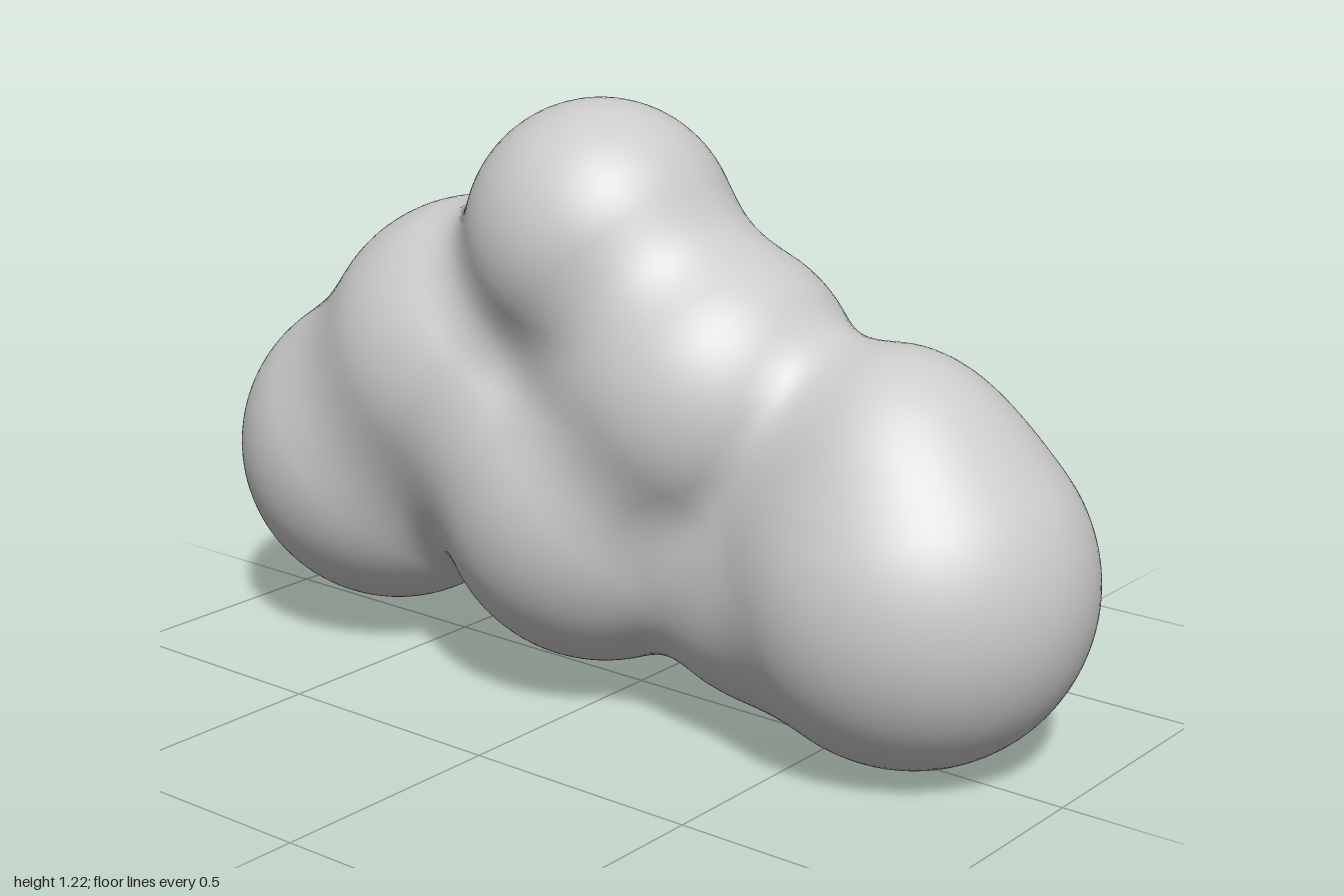
import * as THREE from 'three';

// Puffs of the cloud: x, y, z, radius
const PUFFS = [
  [-0.658, 0.41, 0.027, 0.342], // right end
  [-0.40, 0.642, 0.028, 0.342], // right shoulder
  [-0.07, 0.407, 0.028, 0.342], // middle base
  [-0.055, 0.952, 0.058, 0.273], // crown
  [0.185, 0.675, 0.025, 0.307], // left shoulder
  [0.34, 0.31, 0.0, 0.25], // base filler
  [0.585, 0.585, -0.02, 0.23], // small left bump
  [0.643, 0.361, -0.02, 0.357], // left end
];
const BLEND = 0.11;

// Distance to the softly merged puffs
function field(x, y, z) {
  let d = Infinity;
  for (const [cx, cy, cz, r] of PUFFS) {
    const s = Math.hypot(x - cx, y - cy, z - cz) - r;
    const h = Math.max(BLEND - Math.abs(d - s), 0);
    d = Math.min(d, s) - (h * h) / (4 * BLEND);
  }
  return d;
}

function gradient(p, out) {
  const e = 0.002;
  return out.set(
    field(p.x + e, p.y, p.z) - field(p.x - e, p.y, p.z),
    field(p.x, p.y + e, p.z) - field(p.x, p.y - e, p.z),
    field(p.x, p.y, p.z + e) - field(p.x, p.y, p.z - e)
  ).divideScalar(2 * e);
}

// Skin the field: one vertex per crossed grid cell, one quad per crossed grid edge
function skinGeometry(min, max, step) {
  const n = [0, 1, 2].map((i) => Math.ceil((max[i] - min[i]) / step) + 1);
  const stride = [1, n[0], n[0] * n[1]];
  const values = new Float32Array(n[0] * n[1] * n[2]);
  const at = (i, j, k) => i + j * stride[1] + k * stride[2];
  const eachCell = (first, fn) => {
    for (let k = first; k < n[2] - 1; k++)
      for (let j = first; j < n[1] - 1; j++)
        for (let i = first; i < n[0] - 1; i++) fn(i, j, k);
  };
  for (let k = 0; k < n[2]; k++)
    for (let j = 0; j < n[1]; j++)
      for (let i = 0; i < n[0]; i++)
        values[at(i, j, k)] = field(min[0] + i * step, min[1] + j * step, min[2] + k * step);

  const vertexOf = new Int32Array(values.length).fill(-1);
  const positions = [], normals = [], index = [];
  const p = new THREE.Vector3(), g = new THREE.Vector3();
  eachCell(0, (i, j, k) => {
    const c = at(i, j, k);
    let inside = 0;
    for (let b = 0; b < 8; b++) {
      if (values[c + (b & 1) + ((b >> 1) & 1) * stride[1] + (b >> 2) * stride[2]] < 0) inside++;
    }
    if (inside === 0 || inside === 8) return;
    // Average the edge crossings, then slide onto the surface
    const sum = new THREE.Vector3();
    let count = 0;
    for (let b = 0; b < 8; b++) {
      for (let a = 0; a < 3; a++) {
        if (b & (1 << a)) continue;
        const o = [b & 1, (b >> 1) & 1, b >> 2];
        const v = c + o[0] + o[1] * stride[1] + o[2] * stride[2];
        const v0 = values[v], v1 = values[v + stride[a]];
        if (v0 < 0 === v1 < 0) continue;
        o[a] += v0 / (v0 - v1);
        sum.add(p.fromArray(o));
        count++;
      }
    }
    p.copy(sum).divideScalar(count);
    p.set(min[0] + (i + p.x) * step, min[1] + (j + p.y) * step, min[2] + (k + p.z) * step);
    for (let t = 0; t < 3; t++) {
      gradient(p, g);
      p.addScaledVector(g, -field(p.x, p.y, p.z) / Math.max(g.lengthSq(), 0.2));
    }
    gradient(p, g).normalize();
    vertexOf[c] = positions.length / 3;
    positions.push(p.x, p.y, p.z);
    normals.push(g.x, g.y, g.z);
  });

  eachCell(1, (i, j, k) => {
    const c = at(i, j, k);
    for (let a = 0; a < 3; a++) {
      const inside = values[c] < 0;
      if (inside === values[c + stride[a]] < 0) continue;
      const u = stride[(a + 1) % 3], w = stride[(a + 2) % 3];
      const q = [c - u - w, c - w, c, c - u].map((m) => vertexOf[m]);
      if (!inside) q.reverse();
      index.push(q[0], q[1], q[2], q[0], q[2], q[3]);
    }
  });

  const geometry = new THREE.BufferGeometry();
  geometry.setAttribute('position', new THREE.Float32BufferAttribute(positions, 3));
  geometry.setAttribute('normal', new THREE.Float32BufferAttribute(normals, 3));
  geometry.setIndex(index);
  return geometry;
}

export function createModel() {
  const group = new THREE.Group();
  group.name = 'cloud';
  const material = new THREE.MeshStandardMaterial({ color: 0xcccccc });
  const body = new THREE.Mesh(skinGeometry([-1.06, -0.06, -0.44], [1.06, 1.29, 0.46], 0.02), material);
  body.name = 'cloudBody';
  group.add(body);
  return group;
}
